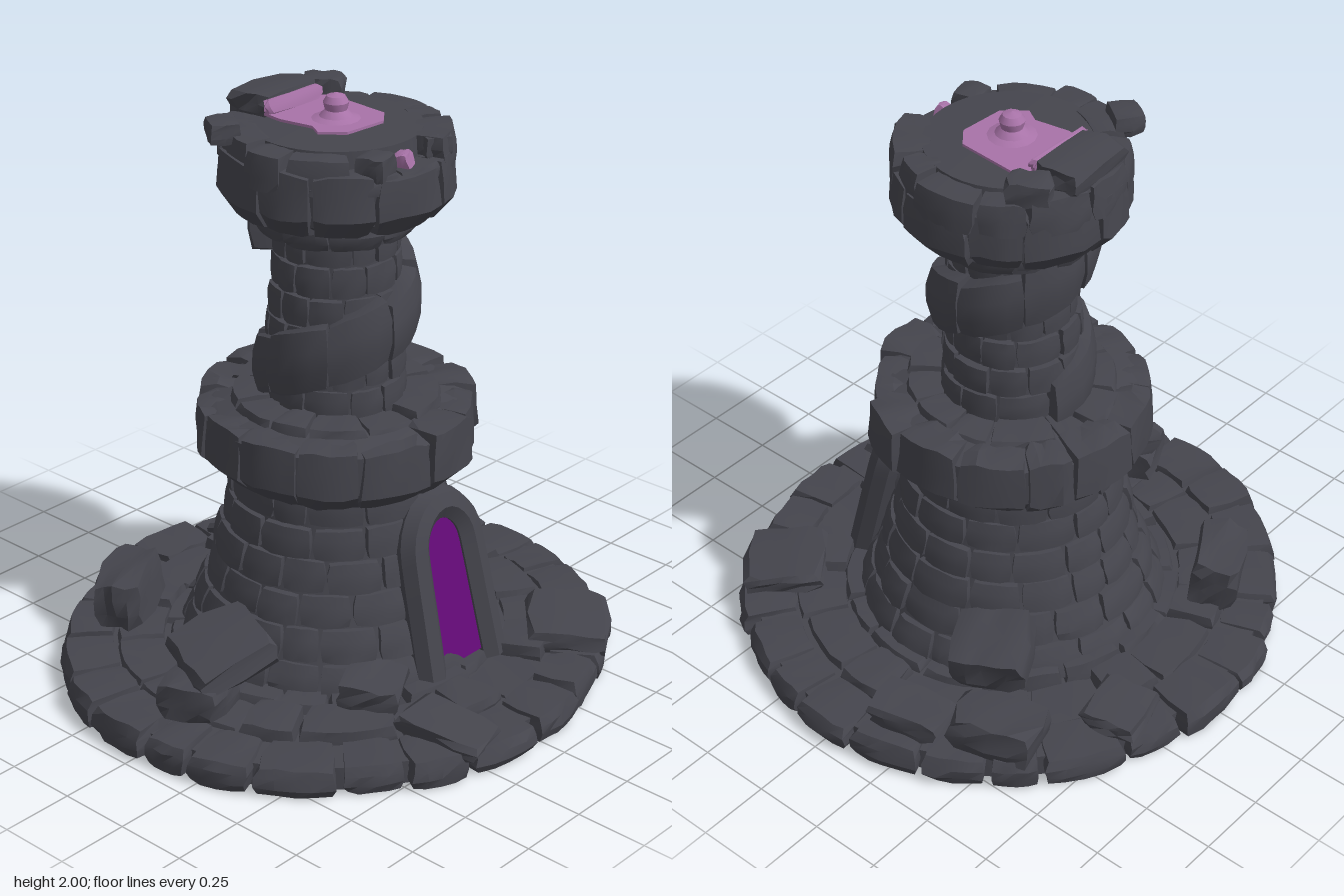
import * as THREE from 'three';
import { mergeGeometries, toCreasedNormals } from 'three/addons/utils/BufferGeometryUtils.js';

let seed = 7;
const rnd = () => (seed = (seed * 16807) % 2147483647) / 2147483647;
const vary = (amount) => (rnd() - 0.5) * 2 * amount;
const lerp = THREE.MathUtils.lerp;

// box with softened corners and a chiselled surface, in unit coordinates
function roughBox(amount, round = 0.06) {
  const g = new THREE.BoxGeometry(1, 1, 1, 4, 3, 2);
  const p = g.attributes.position, key = rnd() * 100;
  for (let i = 0; i < p.count; i++) {
    const v = [p.getX(i), p.getY(i), p.getZ(i)];
    const edges = v.filter((c) => Math.abs(c) > 0.49).length;
    const noise = v.map((_, k) => {
      const s = Math.sin(v[0] * 12.9 + v[1] * 78.2 + v[2] * 37.7 + key + k * 5.3) * 4375.5;
      return (s - Math.floor(s) - 0.5) * amount;
    });
    const f = edges === 3 ? 1 - round * 1.6 : edges === 2 ? 1 - round * 0.6 : 1;
    p.setXYZ(i, ...v.map((c, k) => c * f + noise[k]));
  }
  return g;
}

const finish = (g) => {
  g.deleteAttribute('uv');
  return toCreasedNormals(g, 0.45);
};

// curved stone: angle 0 is the front (+z), growing towards +x
function wedge({ a0, a1, r0, y0, y1, rb, rm, rt, mid = 0.5, slope = 0, rough = 0.06 }) {
  const g = roughBox(rough);
  const p = g.attributes.position;
  for (let i = 0; i < p.count; i++) {
    const a = lerp(a0, a1, p.getX(i) + 0.5);
    const t = p.getY(i) + 0.5;
    const outer = t < mid ? lerp(rb, rm, t / mid) : lerp(rm, rt, (t - mid) / (1 - mid));
    const r = lerp(r0, outer, p.getZ(i) + 0.5);
    p.setXYZ(i, r * Math.sin(a), lerp(y0, y1, t) + slope * a, r * Math.cos(a));
  }
  return finish(g);
}

// ring of uneven curved stones
function stoneRing(n, o, { dr = 0.012, dy = 0.012, gap = 0.012, top = () => 0 } = {}) {
  const start = rnd() * 6;
  const cuts = Array.from({ length: n }, (_, i) => start + ((i + vary(0.2)) / n) * Math.PI * 2);
  cuts.push(cuts[0] + Math.PI * 2);
  return cuts.slice(0, n).map((a, i) => {
    const k = vary(dr), a1 = cuts[i + 1];
    return wedge({
      ...o, a0: a + gap / 2, a1: a1 - gap / 2,
      rb: o.rb + k, rm: o.rm + k, rt: o.rt + k,
      y1: o.y1 + vary(dy) + top((a + a1) / 2),
    });
  });
}

const lathe = (points, n = 40) =>
  finish(new THREE.LatheGeometry(points.map(([r, y]) => new THREE.Vector2(r, y)), n));

function rock(size, pos, rot, rough = 0.1) {
  const g = roughBox(rough, 0.08);
  g.scale(...size);
  g.applyMatrix4(new THREE.Matrix4().makeRotationFromEuler(new THREE.Euler(...rot)));
  g.translate(...pos);
  return finish(g);
}

// outer radius of the flared lower wall at height y
const flare = (y) => 0.36 + 0.17 * Math.pow(Math.max(0, (0.75 - y) / 0.65), 1.7);

export function createModel() {
  seed = 7;
  const stone = new THREE.MeshStandardMaterial({ color: 0x45454d });
  const pink = new THREE.MeshStandardMaterial({ color: 0xa873a8 });
  const purple = new THREE.MeshStandardMaterial({ color: 0x640a78 });
  stone.name = 'dark stone';
  pink.name = 'pink slime';
  purple.name = 'purple glow';

  const model = new THREE.Group();
  const add = (name, geos, material = stone, parent = model) => {
    const mesh = new THREE.Mesh(mergeGeometries([geos].flat()), material);
    mesh.name = name;
    parent.add(mesh);
    return mesh;
  };

  // paved round base, slightly longer in z
  const base = add('pavedBase', [
    lathe([[0, 0], [0.87, 0], [0.87, 0.08], [0, 0.08]], 48),
    ...stoneRing(25, { r0: 0.74, y0: 0.002, y1: 0.1, rb: 0.915, rm: 0.925, rt: 0.905 }, { dr: 0.018, gap: 0.02 }),
    ...stoneRing(19, { r0: 0.57, y0: 0.03, y1: 0.11, rb: 0.73, rm: 0.735, rt: 0.73 }, { dy: 0.02 }),
    ...stoneRing(15, { r0: 0.4, y0: 0.03, y1: 0.125, rb: 0.57, rm: 0.57, rt: 0.56 }, { dy: 0.02 }),
  ]);
  base.scale.z = 1.045;

  // tower stands a little off the base centre
  const tower = new THREE.Group();
  tower.name = 'tower';
  tower.position.set(-0.01, 0, -0.015);
  model.add(tower);

  // flared lower wall in courses
  const lower = [lathe([0.1, 0.2, 0.3, 0.45, 0.6, 0.75].map((y) => [flare(y) - 0.02, y]))];
  const courses = 6;
  for (let i = 0; i < courses; i++) {
    const y0 = 0.09 + i * 0.11, y1 = y0 + 0.105;
    lower.push(...stoneRing(17 - i, {
      r0: 0.28, y0, y1, rb: flare(y0), rm: flare((y0 + y1) / 2) + 0.004, rt: flare(y1), rough: 0.03,
    }, { dr: 0.008, dy: 0.004, gap: 0.008 }));
  }
  add('lowerWall', lower, stone, tower);

  // wide gallery
  add('gallery', [
    lathe([[0.34, 0.7], [0.4, 0.74], [0.45, 0.8], [0.45, 0.93], [0.4, 0.955], [0, 0.965]]),
    ...stoneRing(13, { r0: 0.33, y0: 0.72, y1: 0.965, rb: 0.385, rm: 0.475, rt: 0.465, mid: 0.34 }, { dr: 0.014 }),
    ...stoneRing(12, { r0: 0.2, y0: 0.9, y1: 0.98, rb: 0.36, rm: 0.36, rt: 0.35 }),
  ], stone, tower);

  // upper column in courses
  const column = [lathe([[0.23, 0.95], [0.2, 1.2], [0.19, 1.6]])];
  for (let i = 0; i < 6; i++) {
    const r = 0.235 - i * 0.005, y0 = 0.96 + i * 0.105;
    column.push(...stoneRing(11, { r0: 0.12, y0, y1: y0 + 0.1, rb: r, rm: r, rt: r - 0.004, rough: 0.04 },
      { dr: 0.008, dy: 0.004 }));
  }
  add('upperColumn', column, stone, tower);

  // rising stone band wound around the column
  const band = [];
  const bandStart = -1.9, bandStep = 0.84;
  for (let i = 0; i < 9; i++) {
    const a0 = bandStart + i * bandStep, r = 0.285 + vary(0.01);
    band.push(wedge({
      a0, a1: a0 + bandStep + 0.03, r0: 0.15, y0: 1.035, y1: 1.245 + vary(0.015),
      rb: r - 0.02, rm: r, rt: r - 0.025, slope: 0.5 / (Math.PI * 2), rough: 0.03,
    }));
  }
  add('spiralBand', band, stone, tower);

  // crown with a lowered stretch on the door side
  add('crown', [
    lathe([[0.18, 1.56], [0.26, 1.57], [0.27, 1.63], [0.34, 1.67], [0.36, 1.8], [0.29, 1.82], [0.28, 1.9], [0, 1.905]]),
    ...stoneRing(10, { r0: 0.15, y0: 1.565, y1: 1.64, rb: 0.265, rm: 0.28, rt: 0.28 }, { dy: 0.005 }),
    ...stoneRing(11, { r0: 0.25, y0: 1.63, y1: 1.84, rb: 0.325, rm: 0.38, rt: 0.372, mid: 0.3 }),
    ...stoneRing(12, { r0: 0.25, y0: 1.78, y1: 1.9, rb: 0.375, rm: 0.37, rt: 0.36 },
      { top: (a) => (Math.sin(a) > 0.85 ? -0.07 : 0) }),
  ], stone, tower);
  add('crownBlocks', [
    rock([0.17, 0.09, 0.26], [-0.275, 1.925, 0.0], [0, 0.03, 0.02]),
    rock([0.14, 0.08, 0.1], [-0.24, 1.92, -0.2], [0, 0.6, 0]),
    rock([0.12, 0.07, 0.1], [-0.2, 1.91, 0.31], [0, -0.6, 0]),
    rock([0.1, 0.08, 0.1], [0.29, 1.86, 0.14], [0, 0.3, 0]),
    rock([0.1, 0.08, 0.1], [0.29, 1.86, -0.13], [0, -0.3, 0]),
  ], stone, tower);

  // slime puddle, its knob, and splashes on the block and in the gap
  const outline = [[-0.2, -0.12], [-0.12, -0.13], [0, -0.11], [0.05, -0.14], [0.12, -0.08], [0.13, 0.08],
    [0.08, 0.14], [-0.04, 0.15], [-0.16, 0.16], [-0.21, 0.12]];
  const puddle = new THREE.ExtrudeGeometry(new THREE.Shape(outline.map(([x, y]) => new THREE.Vector2(x, y))),
    { depth: 0.009, bevelEnabled: false });
  puddle.rotateX(-Math.PI / 2).translate(0, 1.907, 0);
  const knob = lathe([[0.09, 1.912], [0.055, 1.925], [0.036, 1.945], [0.042, 1.97], [0.03, 1.99], [0, 2]], 14);
  add('slime', [
    finish(puddle), knob,
    rock([0.03, 0.05, 0.25], [-0.185, 1.935, 0], [0, 0, 0.3]),
    rock([0.05, 0.055, 0.05], [0.31, 1.855, 0.03], [0.2, 0.3, 0.2]),
  ], pink, tower);

  // leaning arched doorway on the left side
  const doorZ = -0.06;
  const lean = (y) => 0.54 - 0.24 * y;
  const path = [];
  for (const s of [1, -1]) {
    const leg = [0.08, 0.2, 0.32, 0.44].map((y) => [y, s * (0.15 - 0.04 * (y - 0.08))]);
    path.push(...(s > 0 ? leg : leg.reverse()));
    if (s > 0) for (let i = 1; i < 8; i++) {
      const a = (i / 8) * Math.PI;
      path.push([0.49 + 0.165 * Math.sin(a), 0.135 * Math.cos(a)]);
    }
  }
  const curve = new THREE.CatmullRomCurve3(path.map(([y, z]) => new THREE.Vector3(lean(y) - 0.01, y, z + doorZ)));
  add('doorFrame', finish(new THREE.TubeGeometry(curve, 36, 0.058, 7)), stone, tower);

  const opening = new THREE.Shape();
  opening.moveTo(-0.1, 0.12);
  opening.lineTo(0.1, 0.12);
  opening.lineTo(0.085, 0.5);
  opening.quadraticCurveTo(0.07, 0.61, 0, 0.61);
  opening.quadraticCurveTo(-0.07, 0.61, -0.085, 0.5);
  const panel = new THREE.ShapeGeometry(opening, 8);
  panel.rotateY(Math.PI / 2);
  const pp = panel.attributes.position;
  for (let i = 0; i < pp.count; i++) pp.setX(i, lean(pp.getY(i)) + 0.008);
  panel.translate(0, 0, doorZ - 0.01);
  add('doorway', finish(panel), purple, tower);

  // fallen blocks on the paving: size, position, rotation
  add('fallenBlocks', [
    rock([0.17, 0.17, 0.3], [-0.58, 0.19, 0.42], [0.05, 0.5, 0.1]),
    rock([0.27, 0.1, 0.28], [0.08, 0.29, 0.63], [0.35, -0.35, -0.1]),
    rock([0.22, 0.12, 0.2], [0.06, 0.17, 0.73], [0, 0.3, 0]),
    rock([0.3, 0.13, 0.2], [-0.5, 0.15, -0.65], [0.1, 0.35, 0]),
    rock([0.25, 0.08, 0.17], [-0.23, 0.14, -0.77], [0, 0.25, 0.05]),
    rock([0.26, 0.15, 0.24], [-0.3, 0.24, -0.45], [-0.35, 0.5, 0]),
    rock([0.28, 0.08, 0.3], [0.62, 0.125, -0.5], [0.1, 0.7, -0.12]),
    rock([0.3, 0.06, 0.2], [0.74, 0.11, 0.27], [0, 0.2, -0.15]),
    rock([0.2, 0.1, 0.22], [0.44, 0.15, 0.3], [0, 0.5, -0.1]),
    rock([0.2, 0.06, 0.22], [-0.72, 0.12, -0.3], [0, 0.25, 0.1]),
  ]);

  return model;
}
